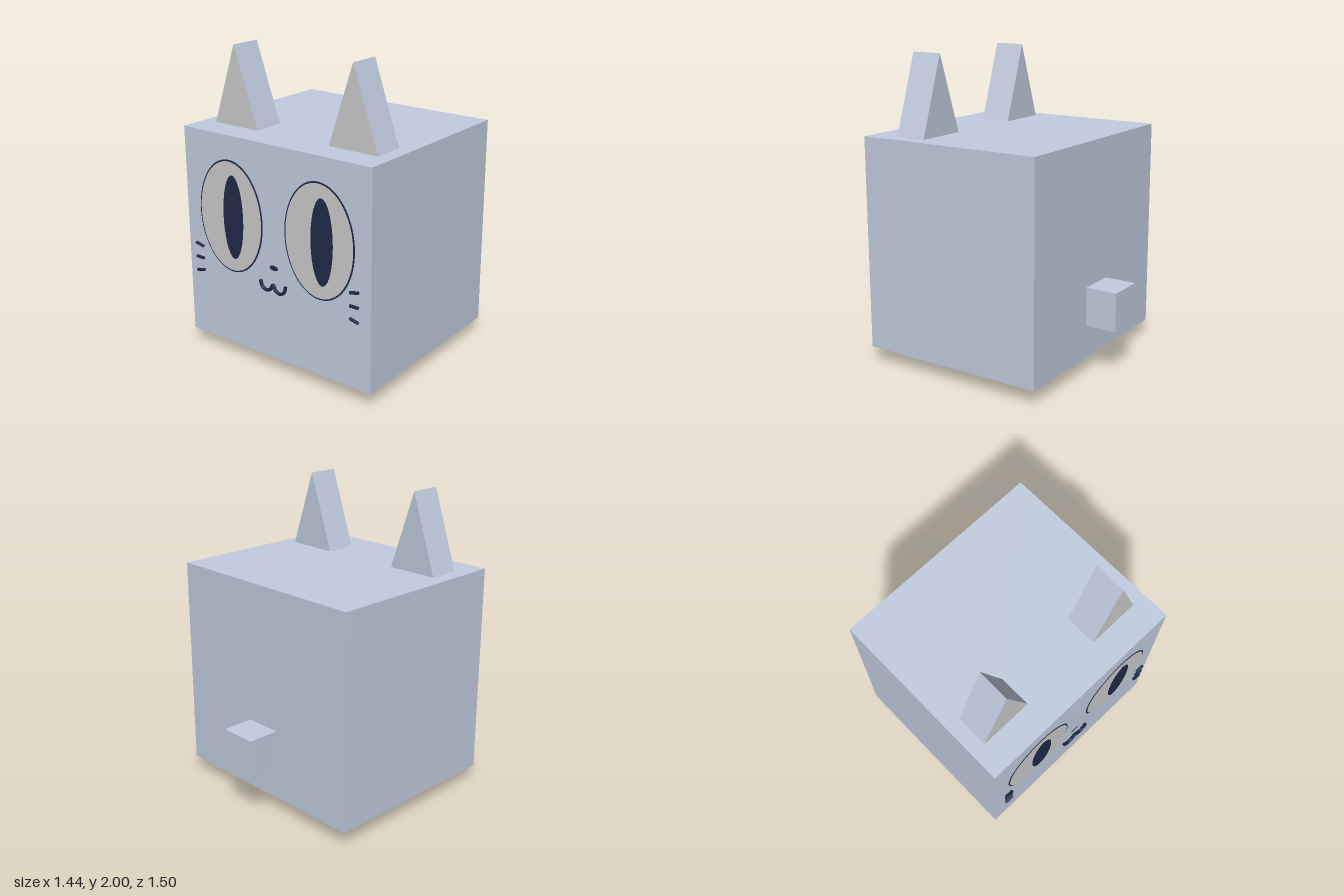
import * as THREE from 'three';

const grey = new THREE.MeshStandardMaterial({ color: 0xcccccc });
const blue = new THREE.MeshStandardMaterial({ color: 0xc2cde0 });
const dark = new THREE.MeshStandardMaterial({ color: 0x1f2a49 });
const darkTube = new THREE.MeshStandardMaterial({ color: 0x1f2a49, side: THREE.DoubleSide });

export function createModel() {
  const model = new THREE.Group();

  const add = (name, geometry, material, x = 0, y = 0, z = 0) => {
    const mesh = new THREE.Mesh(geometry, material);
    mesh.name = name;
    mesh.position.set(x, y, z);
    model.add(mesh);
    return mesh;
  };
  // Flat ellipse facing forward
  const ellipse = (name, material, x, y, z, rx, ry) =>
    add(name, new THREE.CircleGeometry(1, 64).scale(rx, ry, 1), material, x, y, z);
  // Open round stroke lying just in front of the face
  const stroke = (name, points, segments, radius) => {
    const curve = new THREE.CatmullRomCurve3(points.map(([x, y]) => new THREE.Vector3(x, y, 0.74)));
    return add(name, new THREE.TubeGeometry(curve, segments, radius, 10), darkTube);
  };

  // Body and tail
  add('body', new THREE.BoxGeometry(1.44, 1.39, 1.26), blue, 0, 0.795, 0.09);
  add('tail', new THREE.BoxGeometry(0.25, 0.25, 0.21), blue, 0, 0.445, -0.645);

  const triangle = new THREE.Shape([
    new THREE.Vector2(-0.174, 0), new THREE.Vector2(0.174, 0), new THREE.Vector2(0, 0.51),
  ]);

  for (const s of [-1, 1]) {
    const side = s > 0 ? 'left' : 'right';

    // Feet
    add(`${side}FrontFoot`, new THREE.BoxGeometry(0.235, 0.1, 0.25), blue, s * 0.422, 0.05, 0.42);
    add(`${side}BackFoot`, new THREE.BoxGeometry(0.235, 0.1, 0.25), blue, s * 0.422, 0.05, -0.23);

    // Ears: a prism with a pale front
    add(`${side}Ear`, new THREE.ExtrudeGeometry(triangle, { depth: 0.208, bevelEnabled: false }),
      blue, s * 0.45, 1.49, 0.325);
    add(`${side}InnerEar`, new THREE.ShapeGeometry(triangle), grey, s * 0.45, 1.49, 0.535);

    // Eyes: dark rim, pale eyeball, slit pupil
    ellipse(`${side}EyeRim`, dark, s * 0.346, 0.97, 0.723, 0.26, 0.367);
    ellipse(`${side}Eye`, grey, s * 0.346, 0.97, 0.726, 0.25, 0.357);
    ellipse(`${side}Pupil`, dark, s * 0.346 + 0.025, 0.97, 0.729, 0.082, 0.273);

    // Whiskers
    [[0.722, 0.735], [0.64, 0.64], [0.559, 0.545]].forEach(([y0, y1], i) =>
      stroke(`${side}Whisker${i + 1}`, [[s * 0.583, y0], [s * 0.643, y1]], 2, 0.01));
  }

  // Nose and mouth
  ellipse('nose', dark, 0, 0.716, 0.729, 0.033, 0.017);
  stroke('mouth', [
    [-0.1, 0.62], [-0.088, 0.583], [-0.055, 0.564], [-0.022, 0.576], [0, 0.608],
    [0.022, 0.576], [0.055, 0.564], [0.088, 0.583], [0.1, 0.62],
  ], 64, 0.011);

  return model;
}
